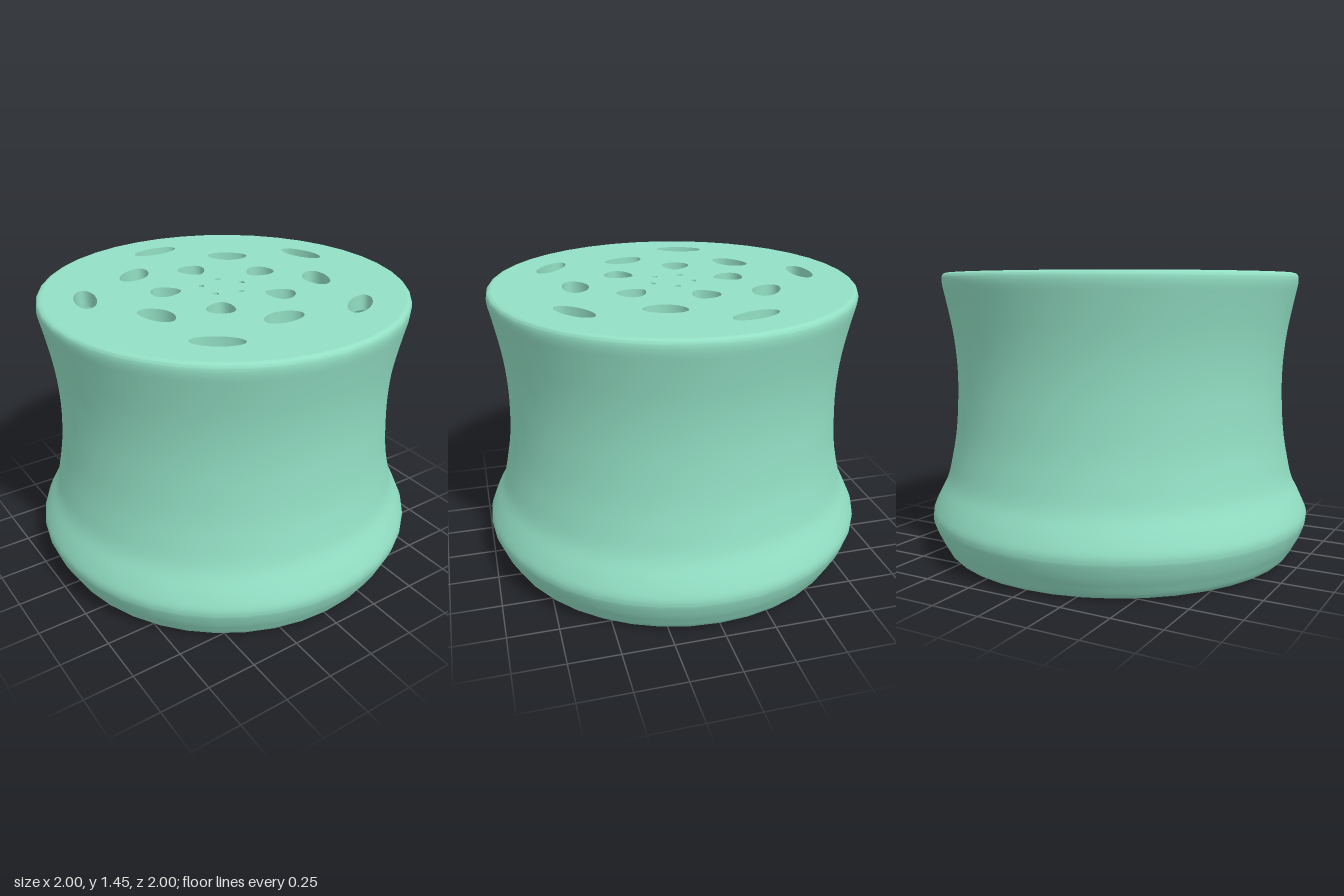
import * as THREE from 'three';
import { toCreasedNormals } from 'three/addons/utils/BufferGeometryUtils.js';

const SEGMENTS = 40;
const HEIGHT = 1.45;
const LID_THICKNESS = 0.08;
const LID_RADIUS = 0.9;

const vectors = (pairs) => pairs.map(([x, y]) => new THREE.Vector2(x, y));
const smooth = (pairs, divisions) => new THREE.SplineCurve(vectors(pairs)).getPoints(divisions);

// Hole outline, placed by rotation about the centre. "taper" widens the outer end.
function hole(radius, angle, halfWidth, halfDepth, taper, steps = 28) {
  const points = [];
  for (let i = 0; i < steps; i++) {
    const t = (i / steps) * Math.PI * 2;
    const radial = radius + halfDepth * Math.sin(t);
    const across = halfWidth * Math.cos(t) * (1 + taper * Math.sin(t));
    points.push(new THREE.Vector2(
      radial * Math.cos(angle) - across * Math.sin(angle),
      radial * Math.sin(angle) + across * Math.cos(angle)
    ));
  }
  return new THREE.Path(points);
}

// Perforated top: rings of five holes that alternate in direction
function lidGeometry() {
  const outline = [];
  for (let i = 0; i < SEGMENTS; i++) {
    const a = (i / SEGMENTS) * Math.PI * 2;
    outline.push(new THREE.Vector2(LID_RADIUS * Math.cos(a), LID_RADIUS * Math.sin(a)));
  }
  const shape = new THREE.Shape(outline);
  const back = Math.PI / 2;
  const rings = [
    { radius: 0.69, start: back, width: 0.125, depth: 0.055, taper: 0 },
    { radius: 0.49, start: -back, width: 0.105, depth: 0.066, taper: 0.15 },
    { radius: 0.295, start: back, width: 0.068, depth: 0.075, taper: 0.3 },
    { radius: 0.11, start: 0, width: 0.018, depth: 0.014, taper: 0.4, steps: 8 },
  ];
  for (const r of rings) {
    for (let i = 0; i < 5; i++) {
      const angle = r.start + (i / 5) * Math.PI * 2;
      shape.holes.push(hole(r.radius, angle, r.width, r.depth, r.taper, r.steps));
    }
  }
  const geometry = new THREE.ExtrudeGeometry(shape, { depth: LID_THICKNESS, bevelEnabled: false });
  geometry.rotateX(-Math.PI / 2);
  geometry.translate(0, HEIGHT - LID_THICKNESS, 0);
  return toCreasedNormals(geometry, 0.7);
}

// Hollow waisted wall: down the inside, around the base lip, up the outside
function bodyGeometry() {
  const profile = [
    ...vectors([[0.795, HEIGHT - LID_THICKNESS], [0.79, 0.85], [0.795, 0.16], [0.774, 0.15]]),
    ...smooth([[0.774, 0.05], [0.782, 0.02], [0.8, 0.004], [0.82, 0]], 8),
    ...smooth([[0.885, 0], [0.905, 0.004], [0.922, 0.02], [0.935, 0.04]], 8),
    ...smooth([
      [0.945, 0.06], [0.972, 0.11], [0.995, 0.17], [1, 0.2], [0.994, 0.235], [0.965, 0.3],
      [0.92, 0.39], [0.893, 0.5], [0.868, 0.65], [0.856, 0.85], [0.859, 1],
      [0.874, 1.14], [0.9, 1.28], [0.923, 1.385],
    ], 44),
    ...smooth([[0.926, 1.41], [0.924, 1.432], [0.915, 1.445], [LID_RADIUS, HEIGHT]], 8),
  ];
  return toCreasedNormals(new THREE.LatheGeometry(profile, SEGMENTS), 0.7);
}

export function createModel() {
  const group = new THREE.Group();
  group.name = 'shakerCap';
  const material = new THREE.MeshStandardMaterial({ color: 0x92dfc4 });
  const addPart = (name, geometry) => {
    const mesh = new THREE.Mesh(geometry, material);
    mesh.name = name;
    group.add(mesh);
  };
  addPart('body', bodyGeometry());
  addPart('perforatedTop', lidGeometry());
  return group;
}
